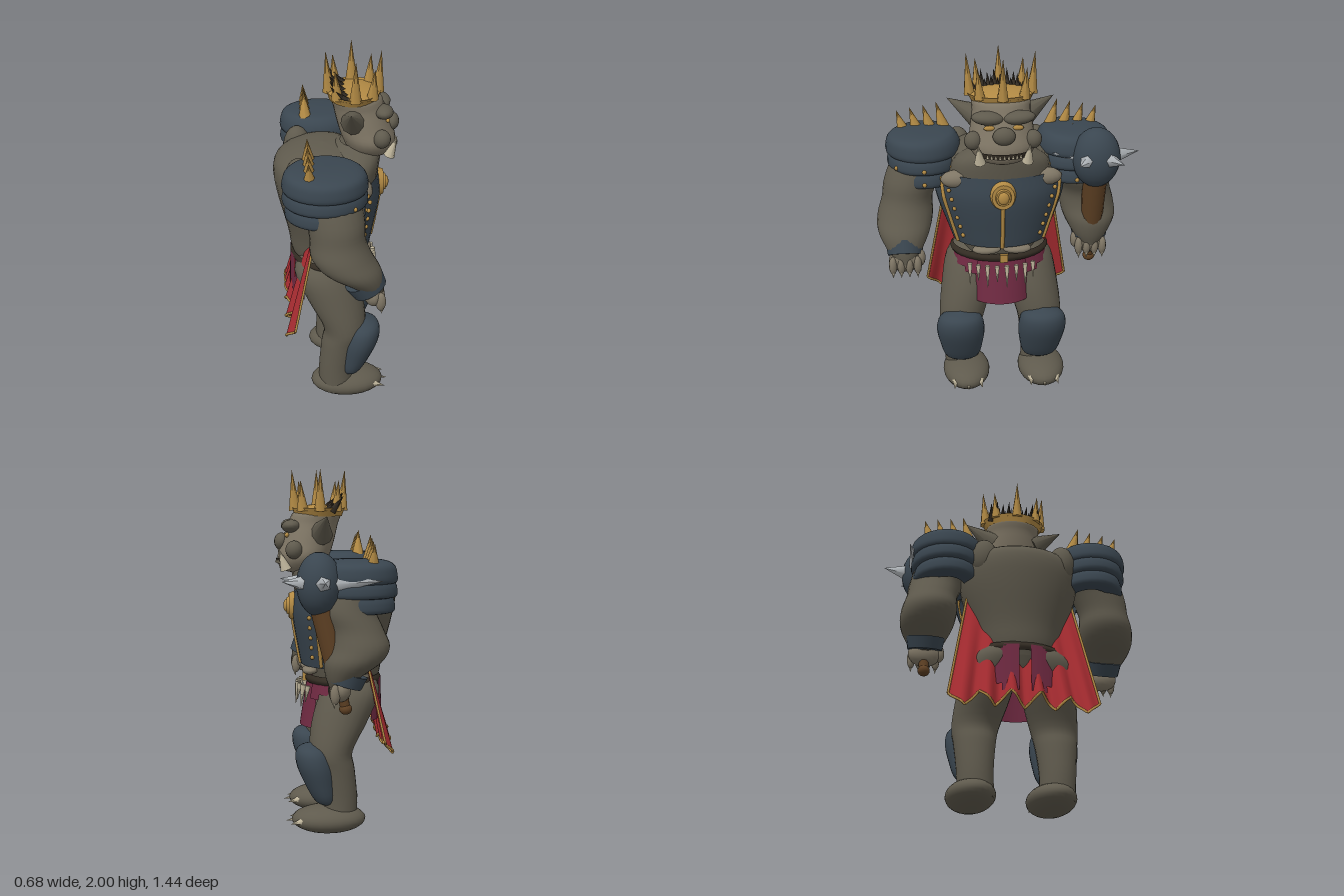
import * as THREE from 'three';

const mat = (name, color, side = THREE.FrontSide) => {
  const m = new THREE.MeshStandardMaterial({ color, side });
  m.name = name;
  return m;
};
const V = (x, y, z) => new THREE.Vector3(x, y, z);

export function createModel() {
  const skin = mat('skin', 0x5f5a4d), pale = mat('paleSkin', 0x7f7665);
  const armour = mat('armour', 0x3a4650, THREE.DoubleSide), gold = mat('gold', 0xb28a44, THREE.DoubleSide);
  const red = mat('capeRed', 0xa82c31, THREE.DoubleSide), maroon = mat('maroonCloth', 0x702a42, THREE.DoubleSide);
  const bone = mat('bone', 0xc2b89e), steel = mat('steel', 0xb2b7bb);
  const wood = mat('wood', 0x5f4124), dark = mat('darkLeather', 0x332c23);

  // The body is modelled facing +z, then turned to face +x
  const root = new THREE.Group();
  const body = new THREE.Group();
  body.name = 'kingOgre';
  body.rotation.y = Math.PI / 2;
  body.position.z = 0.04;
  root.add(body);

  const add = (name, geo, m, pos) => {
    const mesh = new THREE.Mesh(geo, m);
    mesh.name = name;
    if (pos) mesh.position.copy(pos);
    body.add(mesh);
    return mesh;
  };
  const ball = (name, m, x, y, z, rx, ry = rx, rz = rx, seg = 16) => {
    const b = add(name, new THREE.SphereGeometry(1, seg, Math.ceil(seg * 0.65)), m, V(x, y, z));
    b.scale.set(rx, ry, rz);
    return b;
  };
  // Tapered rod from a to b
  const rod = (name, m, a, b, r0, r1 = 0, seg = 6) => {
    const d = b.clone().sub(a);
    const g = new THREE.CylinderGeometry(r1, r0, d.length(), seg);
    const c = add(name, g, m, a.clone().add(b).multiplyScalar(0.5));
    c.quaternion.setFromUnitVectors(V(0, 1, 0), d.normalize());
    return c;
  };
  // Skin through horizontal ellipses [y, cx, cz, rx, rz], listed bottom to top
  const loft = (name, m, rings, { n = 24, sub = 4, a0 = 0, a1 = Math.PI * 2 } = {}) => {
    const closed = a1 - a0 > 6.28, cols = closed ? n : n + 1;
    const mid = new THREE.CatmullRomCurve3(rings.map(r => V(r[1], r[0], r[2])), false, 'catmullrom');
    const rad = new THREE.CatmullRomCurve3(rings.map(r => V(r[3], 0, r[4])), false, 'catmullrom');
    const rows = (rings.length - 1) * sub, pos = [], idx = [];
    for (let j = 0; j <= rows; j++) {
      const c = mid.getPoint(j / rows), r = rad.getPoint(j / rows);
      for (let i = 0; i < cols; i++) {
        const a = a0 + (a1 - a0) * i / n;
        pos.push(c.x + Math.max(r.x, 0.001) * Math.sin(a), c.y, c.z + Math.max(r.z, 0.001) * Math.cos(a));
      }
    }
    for (let j = 0; j < rows; j++) for (let i = 0; i < n; i++) {
      const p = j * cols + i, q = j * cols + (i + 1) % cols;
      idx.push(p, q, p + cols, q, q + cols, p + cols);
    }
    const g = new THREE.BufferGeometry();
    g.setAttribute('position', new THREE.Float32BufferAttribute(pos, 3));
    g.setIndex(idx);
    g.computeVertexNormals();
    return add(name, g, m);
  };
  const tube = (name, m, pts, r, seg = 30) =>
    add(name, new THREE.TubeGeometry(new THREE.CatmullRomCurve3(pts, false, 'catmullrom', 0.1), seg, r, 6), m);

  // Torso, hips and neck
  loft('torso', skin, [[0.8, 0, -0.06, 0.19, 0.17], [0.88, 0, -0.06, 0.22, 0.195], [1.0, 0, -0.055, 0.255, 0.22],
    [1.2, 0, -0.065, 0.32, 0.26], [1.34, 0, -0.075, 0.335, 0.27], [1.42, 0, -0.08, 0.29, 0.235],
    [1.475, 0, -0.07, 0.16, 0.13], [1.49, 0, -0.07, 0, 0]], { n: 36 });
  loft('hips', skin, [[0.66, 0, -0.06, 0, 0], [0.7, 0, -0.06, 0.15, 0.11], [0.84, 0, -0.055, 0.25, 0.185]]);
  loft('neck', skin, [[1.3, 0, 0.05, 0.28, 0.17], [1.4, 0, 0.075, 0.26, 0.16], [1.46, 0, 0.1, 0.19, 0.14], [1.5, 0, 0.12, 0.11, 0.1]]);

  // Breastplate with medallion and gold bands
  loft('breastplate', armour, [[0.92, 0, 0, 0.262, 0.19], [1.0, 0, 0, 0.29, 0.205], [1.2, 0, 0, 0.355, 0.238], [1.34, 0, 0, 0.35, 0.225]],
    { a0: -1.55, a1: 1.55, n: 18 });
  for (const [r, z, d] of [[0.072, 0.242, 0.03], [0.046, 0.26, 0.02]]) {
    const disc = add('medallion', new THREE.CylinderGeometry(r * 0.85, r, d, 20), gold, V(0, 1.245, z));
    disc.rotation.x = Math.PI / 2;
    disc.scale.z = 1.15;
  }
  ball('medallionBoss', gold, 0, 1.245, 0.27, 0.03, 0.036, 0.018);
  tube('centreBand', gold, [V(0, 1.2, 0.242), V(0, 1.0, 0.208), V(0, 0.92, 0.192)], 0.011);

  // Belt and buckle
  loft('belt', dark, [[0.82, 0, -0.045, 0.265, 0.205], [0.843, 0, -0.045, 0.278, 0.215], [0.868, 0, -0.045, 0.262, 0.205]], { n: 32 });
  add('buckle', new THREE.BoxGeometry(0.045, 0.045, 0.02), gold, V(0.01, 0.845, 0.172));

  // Loincloth: front panel, side scraps and back flaps
  loft('frontCloth', maroon, [[0.57, 0, 0.03, 0.183, 0.168], [0.7, 0, 0.015, 0.184, 0.163], [0.85, 0, 0, 0.19, 0.153]], { a0: -0.9, a1: 0.9, n: 14 });
  [[0.68, 0.16, 0.74, 0.215, 0.2], [0.95, 0.16, 0.77, 0.21, 0.2], [1.2, 0.14, 0.75, 0.2, 0.2],
    [2.5, 0.2, 0.62, 0.225, 0.21], [2.85, 0.17, 0.58, 0.228, 0.216]].forEach(([c, h, y, rz, top]) => {
    for (const a of [c, Math.PI * 2 - c])
      loft('clothScrap', maroon, [[y, 0, -0.04, 0.275, rz], [0.85, 0, -0.045, 0.262, top]], { a0: a - h, a1: a + h, n: 8 });
  });
  for (let i = 0; i < 8; i++) {
    const a = -0.68 + i * 0.19, x = 0.285 * Math.sin(a), z = -0.03 + 0.238 * Math.cos(a);
    rod('fangCharm', bone, V(x, 0.815, z), V(x, 0.69 + 0.035 * (i % 2), z + 0.015), 0.015, 0.002);
  }

  // Cape: a folded sheet with a ragged hem and gold trim
  const capePoint = (s, t) => {
    const rag = 0.085 * Math.abs(((s * 2.5 + 9.5) % 1) * 2 - 1) + 0.03 * (1 - s * s);
    return V(s * (0.3 + 0.11 * t), 1.17 - t * (0.715 - rag), -0.11 - 0.16 * t + 0.026 * t * Math.cos(s * 19));
  };
  const cape = new THREE.PlaneGeometry(2, 1, 60, 8), cp = cape.attributes.position;
  for (let i = 0; i < cp.count; i++) {
    const p = capePoint(cp.getX(i), 0.5 - cp.getY(i));
    cp.setXYZ(i, p.x, p.y, p.z);
  }
  cape.computeVertexNormals();
  add('cape', cape, red);
  const steps = n => Array.from({ length: n + 1 }, (_, i) => i / n);
  tube('capeHem', gold, steps(60).map(t => capePoint(t * 2 - 1, 1)), 0.007, 120);
  for (const s of [-1, 1]) tube('capeEdge', gold, steps(6).map(t => capePoint(s, t)), 0.007);

  // Head and face
  loft('head', pale, [[1.425, 0, 0.19, 0, 0], [1.45, 0, 0.185, 0.12, 0.11], [1.52, 0, 0.175, 0.178, 0.143], [1.6, 0, 0.15, 0.17, 0.145],
    [1.7, 0, 0.12, 0.155, 0.138], [1.77, 0, 0.095, 0.145, 0.125], [1.785, 0, 0.095, 0, 0]]);
  ball('nose', skin, 0, 1.605, 0.297, 0.06, 0.048, 0.04);
  loft('mouth', dark, [[1.484, 0, 0.18, 0.165, 0.142], [1.515, 0, 0.18, 0.18, 0.147]], { a0: -0.72, a1: 0.72, n: 12 });
  for (let i = 0; i < 9; i++) {
    const a = -0.52 + i * 0.13, x = 0.176 * Math.sin(a), z = 0.178 + 0.146 * Math.cos(a);
    rod('tooth', bone, V(x, 1.488, z), V(x, 1.505, z), 0.008, 0.003);
  }

  // Crown and hair
  loft('crownBand', gold, [[1.745, 0, 0.09, 0.158, 0.132], [1.79, 0, 0.09, 0.182, 0.146]], { n: 32 });
  loft('crownCap', gold, [[1.775, 0, 0.09, 0.175, 0.142], [1.79, 0, 0.09, 0.15, 0.12], [1.805, 0, 0.09, 0.08, 0.06], [1.81, 0, 0.09, 0, 0]]);
  for (let i = 0; i < 8; i++) {
    const a = i * Math.PI / 4, x = Math.sin(a), z = Math.cos(a), tall = i % 2 === 0;
    rod('crownSpike', gold, V(x * 0.165, 1.775, 0.09 + z * 0.13), V(x * 0.182, tall ? 2.0 : 1.94, 0.09 + z * 0.147), 0.033);
  }
  for (let i = 0; i < 18; i++) {
    const x = -0.14 + i * 0.0165, back = i % 2 * 0.03;
    rod('hairTuft', dark, V(x, 1.77, 0.055 - back), V(x * 1.08, 1.83 + (i * 5 % 4) * 0.01 + back * 0.5, -0.01 - back), 0.022);
  }

  for (const s of [-1, 1]) {
    // Face features
    ball('eye', gold, s * 0.075, 1.642, 0.268, 0.03, 0.014, 0.012);
    ball('brow', skin, s * 0.082, 1.69, 0.245, 0.086, 0.036, 0.052).rotation.z = s * 0.08;
    ball('cheek', skin, s * 0.158, 1.565, 0.232, 0.047, 0.05, 0.047);
    rod('ear', skin, V(s * 0.12, 1.65, 0.085), V(s * 0.285, 1.748, 0.06), 0.07, 0, 10);
    rod('tusk', bone, V(s * 0.125, 1.455, 0.275), V(s * 0.137, 1.57, 0.315), 0.031, 0, 8);

    // Muscles
    ball('shoulderBlade', skin, s * 0.22, 1.38, -0.21, 0.075, 0.11, 0.075);
    ball('chestMuscle', pale, s * 0.24, 1.312, 0.13, 0.09, 0.05, 0.05);
    ball('bellyMuscle', pale, s * 0.085, 0.893, 0.145, 0.08, 0.026, 0.045);

    // Side bands and rivets on the breastplate
    tube('sideBand', gold, [V(s * 0.325, 1.315, 0.092), V(s * 0.312, 1.2, 0.12), V(s * 0.238, 0.93, 0.09)], 0.011);
    for (let i = 0; i < 6; i++) {
      const y = 1.26 - i * 0.056, x = 0.288 - i * 0.015, rx = 0.29 + (y - 1) * 0.325, rz = 0.205 + (y - 1) * 0.165;
      ball('rivet', gold, s * x, y, rz * Math.sqrt(1 - (x / rx) ** 2) + 0.004, 0.012, 0.012, 0.012, 8);
    }

    // Arm, bracer and hand; the left arm hangs further back and closer in
    const k = s > 0 ? -0.16 : 0, ax = s > 0 ? 0.515 : -0.535;
    loft('arm', skin, [[0.85, ax, 0.17 + k, 0.05, 0.05], [0.92, ax, 0.13 + k * 0.85, 0.1, 0.09],
      [1.0, ax, 0.055 + k * 0.7, 0.145, 0.15], [1.08, ax * 0.98, k * 0.58, 0.153, 0.16],
      [1.17, ax * 0.955, -0.02 + k * 0.35, 0.14, 0.145], [1.28, ax * 0.9, -0.03, 0.15, 0.15],
      [1.42, s * 0.42, -0.06, 0.14, 0.14], [1.48, s * 0.42, -0.06, 0, 0]]);
    rod('bracer', armour, V(ax, 0.945, 0.112 + k * 0.9), V(ax, 0.88, 0.148 + k), 0.108, 0.095, 18);
    ball('hand', pale, ax, 0.86, 0.165 + k, 0.09, 0.07, 0.055);
    for (let i = 0; i < 4; i++) {
      const x = ax + s * (i * 0.045 - 0.067);
      ball('finger', pale, x, 0.84, 0.2 + k, 0.023, 0.054, 0.028, 10);
      rod('fingerNail', bone, V(x, 0.81, 0.208 + k), V(x, 0.765, 0.203 + k), 0.014);
    }
    ball('thumb', pale, ax - s * 0.085, 0.87, 0.165 + k, 0.027, 0.05, 0.03, 10);

    // Layered pauldron
    const px = s * 0.415, pz = -0.08;
    [[1.25, 0.178, 0.2], [1.33, 0.19, 0.212]].forEach(([y, rx, rz]) => {
      loft('pauldronPlate', armour, [[y, px, pz, rx * 0.6, rz * 0.6], [y + 0.005, px, pz, rx, rz], [y + 0.05, px, pz, rx * 1.04, rz * 1.04],
        [y + 0.09, px, pz, rx * 0.97, rz * 0.97]], { n: 28 });
      for (const a of [-0.85, 0, 0.85])
        ball('pauldronStud', gold, px + rx * 1.04 * Math.sin(a), y + 0.03, pz + rz * 1.04 * Math.cos(a), 0.012, 0.012, 0.012, 8);
    });
    loft('pauldronTop', armour, [[1.4, px, pz, 0.13, 0.15], [1.41, px, pz, 0.198, 0.216], [1.46, px, pz, 0.204, 0.22],
      [1.505, px, pz, 0.182, 0.2], [1.526, px - s * 0.02, pz, 0.12, 0.14], [1.532, px, pz, 0, 0]], { n: 28 });
    for (let i = 0; i < 4; i++) {
      const x = 0.295 + i * 0.073;
      rod('pauldronSpike', gold, V(s * x, 1.495 - i * 0.006, -0.16), V(s * (x + 0.042), 1.655 - i * 0.014, -0.167), 0.04, 0, 8);
    }

    // Leg, shin guard and clawed foot
    loft('leg', skin, [[0.05, s * 0.22, -0.01, 0.1, 0.1], [0.2, s * 0.225, -0.01, 0.1, 0.1], [0.36, s * 0.225, 0.015, 0.115, 0.11],
      [0.46, s * 0.22, 0.035, 0.13, 0.12], [0.62, s * 0.185, -0.015, 0.148, 0.155], [0.78, s * 0.15, -0.075, 0.15, 0.165],
      [0.88, s * 0.12, -0.08, 0.1, 0.12]]);
    loft('shinGuard', armour, [[0.155, s * 0.225, 0.06, 0, 0], [0.18, s * 0.226, 0.065, 0.09, 0.06], [0.29, s * 0.23, 0.095, 0.124, 0.093],
      [0.4, s * 0.235, 0.122, 0.136, 0.108], [0.48, s * 0.235, 0.137, 0.108, 0.085], [0.515, s * 0.235, 0.142, 0, 0]]);
    const fx = s * 0.22 + 0.018;
    ball('foot', skin, fx, 0.08, 0.05, 0.135, 0.08, 0.205, 24);
    for (let i = -1; i < 2; i++)
      rod('toeClaw', bone, V(fx + i * 0.07, 0.085, 0.19), V(fx + i * 0.08, 0.07, 0.285 - 0.02 * Math.abs(i)), 0.024);
  }

  // Spiked club in the creature's left hand
  const cx = 0.517;
  rod('clubHandle', wood, V(cx, 0.75, -0.02), V(cx, 0.99, 0.03), 0.025, 0.04, 12);
  rod('clubShaft', wood, V(cx, 0.96, 0.025), V(cx, 1.3, 0.1), 0.058, 0.07, 14);
  ball('clubPommel', wood, cx, 0.752, -0.02, 0.034, 0.03, 0.034);
  ball('clubHead', armour, cx, 1.407, 0.118, 0.132, 0.167, 0.118, 24);
  for (let i = 0; i < 6; i++) {
    const a = i * Math.PI / 3, x = Math.cos(a), z = Math.sin(a);
    rod('clubSpike', steel, V(cx + x * 0.1, 1.415, 0.105 + z * 0.085), V(cx + x * 0.238, 1.43, 0.04 + 0.06 * x * x + z * 0.3), 0.048, 0, 5);
  }
  return root;
}
